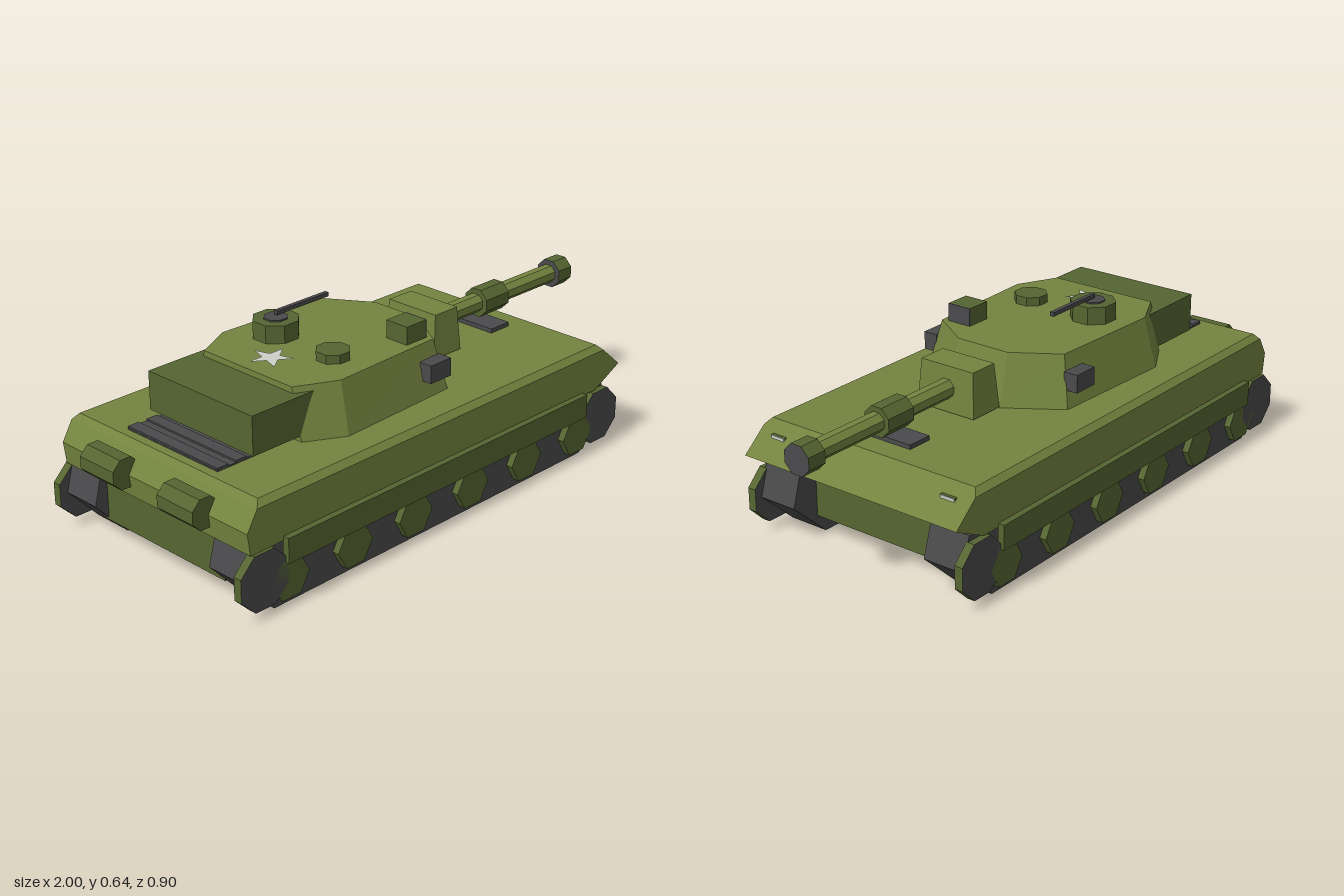
import * as THREE from 'three';
import { ConvexGeometry } from 'three/addons/geometries/ConvexGeometry.js';

export function createModel() {
  const model = new THREE.Group();
  model.name = 'tank';
  const material = (name, color) => {
    const m = new THREE.MeshStandardMaterial({ color, flatShading: true });
    m.name = name;
    return m;
  };
  const green = material('olive green', 0x74843f);
  const dark = material('dark olive', 0x556531);
  const grey = material('dark grey', 0x4a494b);
  const pale = material('pale grey', 0xcfcfca);

  const add = (name, geometry, mat, x = 0, y = 0, z = 0) => {
    const mesh = new THREE.Mesh(geometry, mat);
    mesh.name = name;
    mesh.position.set(x, y, z);
    model.add(mesh);
    return mesh;
  };
  // Box given by its lower and upper corner
  const box = (name, mat, [x0, y0, z0], [x1, y1, z1]) =>
    add(name, new THREE.BoxGeometry(x1 - x0, y1 - y0, z1 - z0), mat,
      (x0 + x1) / 2, (y0 + y1) / 2, (z0 + z1) / 2);
  // Prism along an axis, r is the corner radius, flat adds half a step of turn
  const prism = (axis, r, length, sides, flat = true) => {
    const g = new THREE.CylinderGeometry(r, r, length, sides);
    if (flat) g.rotateY(Math.PI / sides);
    if (axis === 'x') g.rotateZ(-Math.PI / 2);
    if (axis === 'z') g.rotateX(Math.PI / 2);
    return g;
  };
  // Convex solid from half of its corners, mirrored in z
  const mirroredSolid = (corners) => new ConvexGeometry(corners.flatMap(([x, y, z]) =>
    [new THREE.Vector3(x, y, z), new THREE.Vector3(x, y, -z)]));

  // Hull with sloped bow and chamfered upper edges
  add('hull', mirroredSolid([
    [-0.93, 0.225, 0.43], [-0.94, 0.30, 0.43], [-0.90, 0.367, 0.43], [-0.88, 0.388, 0.412],
    [0.685, 0.388, 0.412], [0.707, 0.367, 0.43], [0.797, 0.29, 0.43], [0.67, 0.228, 0.43],
  ]), green);
  box('belly', dark, [-0.90, 0.07, -0.28], [0.65, 0.235, 0.28]);

  // Running gear on both sides
  const trackShape = new THREE.Shape([
    [-0.83, 0.003], [0.615, 0.003], [0.755, 0.133], [0.72, 0.244], [-0.92, 0.244], [-0.95, 0.133],
  ].map(([x, y]) => new THREE.Vector2(x, y)));
  for (const s of [-1, 1]) {
    const track = new THREE.ExtrudeGeometry(trackShape, { depth: 0.148, bevelEnabled: false });
    add('track', track, grey, 0, 0, s > 0 ? 0.268 : -0.416);
    for (const x of [-0.885, 0.688]) {
      add('endWheel', prism('z', 0.102, 0.03, 8), [dark, grey, grey], x, 0.13, s * 0.425);
    }
    for (let i = 0; i < 6; i++) {
      add('roadWheel', prism('z', 0.075, 0.04, 6, false).rotateZ(0), dark, -0.78 + i * 0.27, 0.095, s * 0.42)
        .geometry.rotateZ(Math.PI / 6);
    }
    box('sideSkirt', dark, [-0.8, 0.155, s * 0.44 - 0.012], [0.6, 0.24, s * 0.44 + 0.012]);
    add('rearDrum', prism('z', 0.055, 0.16, 8), dark, -0.949, 0.31, s * 0.182);
    // Headlight with a pale lens
    box('headlight', dark, [0.715, 0.344, s * 0.345 - 0.028], [0.732, 0.356, s * 0.345 + 0.028]);
    box('headlightLens', pale, [0.732, 0.345, s * 0.345 - 0.027], [0.735, 0.355, s * 0.345 + 0.027]);
    box('sideSight', grey, [-0.045, 0.446, s * 0.291 - 0.026], [0.05, 0.508, s * 0.291 + 0.026]);
  }

  // Deck fittings
  box('engineGrille', grey, [-0.85, 0.38, -0.21], [-0.6, 0.393, 0.205]);
  for (const x of [-0.825, -0.752]) {
    box('grilleSlat', grey, [x - 0.024, 0.385, -0.21], [x + 0.018, 0.399, 0.205]);
  }
  box('barrelRest', grey, [0.513, 0.385, -0.093], [0.605, 0.403, 0.091]);

  // Turret and its rear stowage box
  add('turret', mirroredSolid([
    [-0.54, 0.386, 0.24], [-0.41, 0.386, 0.313], [0.065, 0.386, 0.292], [0.187, 0.386, 0.11],
    [-0.54, 0.56, 0.20], [-0.40, 0.56, 0.27], [0.033, 0.56, 0.253], [0.132, 0.56, 0.10],
  ]), green);
  box('stowageBox', dark, [-0.735, 0.407, -0.24], [-0.48, 0.54, 0.235]);

  // Gun
  add('mantlet', mirroredSolid([
    [0.193, 0.395, 0.115], [0.325, 0.395, 0.115], [0.207, 0.548, 0.105], [0.314, 0.548, 0.105],
  ]), green);
  add('barrel', prism('x', 0.034, 0.69, 8), green, 0.635, 0.472, 0);
  add('barrelSleeve', prism('x', 0.053, 0.118, 8), dark, 0.592, 0.472, 0);
  add('muzzle', prism('x', 0.053, 0.07, 8), [dark, grey, grey], 0.965, 0.472, 0);

  // Roof fittings
  add('cupola', prism('y', 0.079, 0.062, 8), dark, -0.295, 0.59, -0.13);
  add('cupolaHatch', prism('y', 0.041, 0.006, 8), grey, -0.295, 0.623, -0.13);
  box('machineGun', grey, [-0.295, 0.631, -0.137], [-0.065, 0.645, -0.122]);
  add('loaderHatch', prism('y', 0.058, 0.034, 8), dark, -0.295, 0.573, 0.13);
  box('sightHousing', dark, [-0.065, 0.555, 0.14], [0.022, 0.622, 0.23]);
  box('sightGlass', grey, [0.022, 0.56, 0.14], [0.027, 0.622, 0.23]);

  // Painted star on the roof
  const points = [];
  for (let i = 0; i < 10; i++) {
    const r = i % 2 ? 0.03 : 0.077;
    const a = Math.PI / 2 + i * Math.PI / 5;
    points.push(new THREE.Vector2(r * Math.cos(a), r * Math.sin(a)));
  }
  const star = new THREE.ShapeGeometry(new THREE.Shape(points)).rotateX(-Math.PI / 2);
  add('roofStar', star, pale, -0.435, 0.564, -0.003);

  return model;
}
